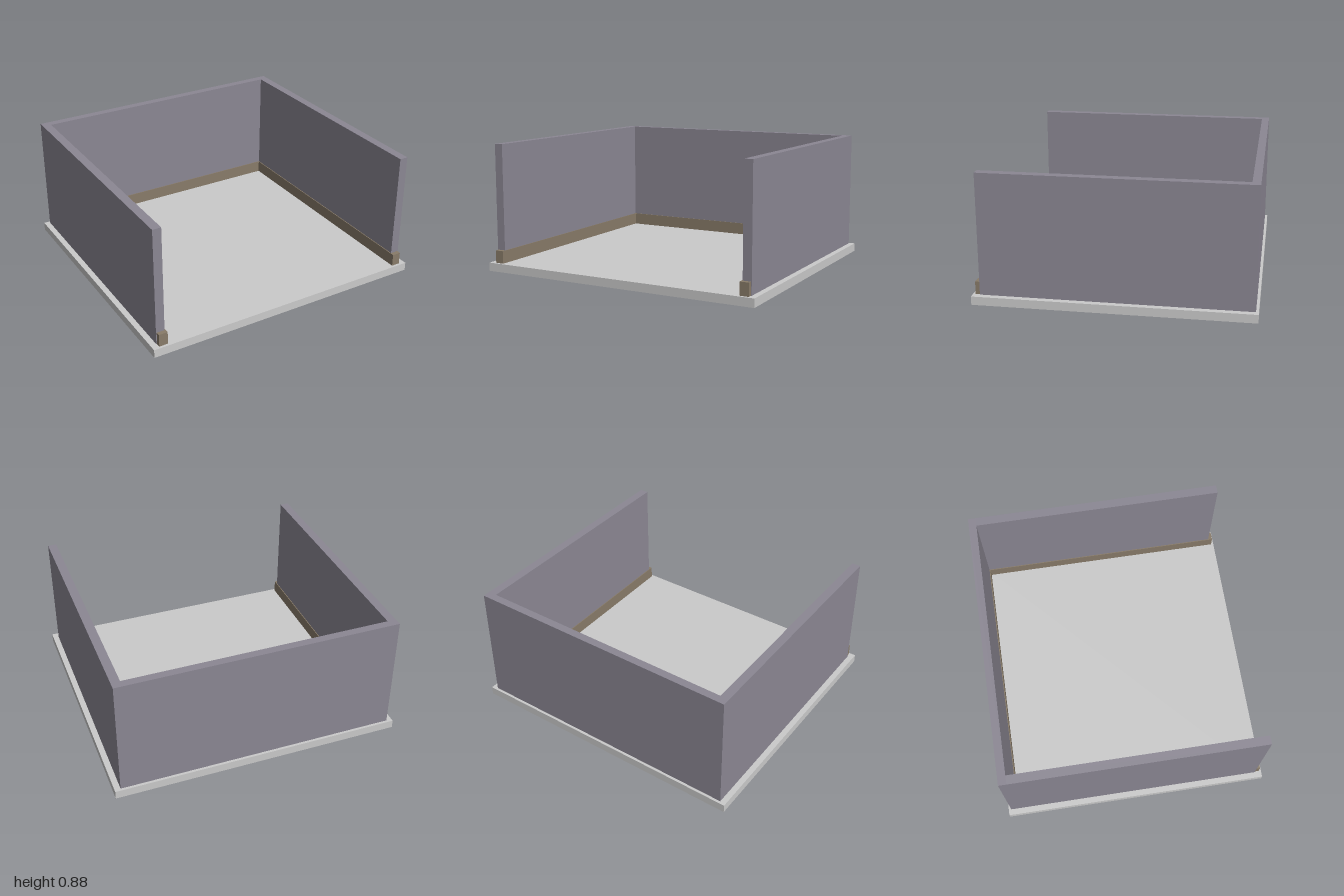
import * as THREE from 'three';

export function createModel() {
  const model = new THREE.Group();
  const floorMat = new THREE.MeshStandardMaterial({ color: 0xcacaca });
  floorMat.name = 'light grey floor';
  const wallMat = new THREE.MeshStandardMaterial({ color: 0x8b8793 });
  wallMat.name = 'mauve grey wall';
  const skirtingMat = new THREE.MeshStandardMaterial({ color: 0x887b69 });
  skirtingMat.name = 'brown skirting';

  // Box given by its minimum and maximum corners
  function box(name, material, [x0, y0, z0], [x1, y1, z1]) {
    const mesh = new THREE.Mesh(new THREE.BoxGeometry(x1 - x0, y1 - y0, z1 - z0), material);
    mesh.position.set((x0 + x1) / 2, (y0 + y1) / 2, (z0 + z1) / 2);
    mesh.name = name;
    model.add(mesh);
  }

  const floorTop = 0.058, wallTop = 0.878, skirtingTop = 0.145;

  // Floor slab
  box('floor', floorMat, [-1, 0, -0.922], [1, floorTop, 0.922]);

  // Back wall and its skirting, which stands just proud of the inner face
  box('backWall', wallMat, [-0.96, floorTop, -0.904], [0.96, wallTop, -0.85]);
  box('backSkirting', skirtingMat, [-0.894, floorTop, -0.88], [0.894, skirtingTop, -0.844]);

  // Side walls, with skirtings that also project past the open front end
  for (const [side, s] of [['left', 1], ['right', -1]]) {
    const span = (a, b) => (s > 0 ? [a, b] : [-b, -a]);
    const [w0, w1] = span(0.9, 0.96);
    box(side + 'Wall', wallMat, [w0, floorTop, -0.85], [w1, wallTop, 0.874]);
    const [k0, k1] = span(0.894, 0.955);
    box(side + 'Skirting', skirtingMat, [k0, floorTop, -0.88], [k1, skirtingTop, 0.904]);
  }
  return model;
}
